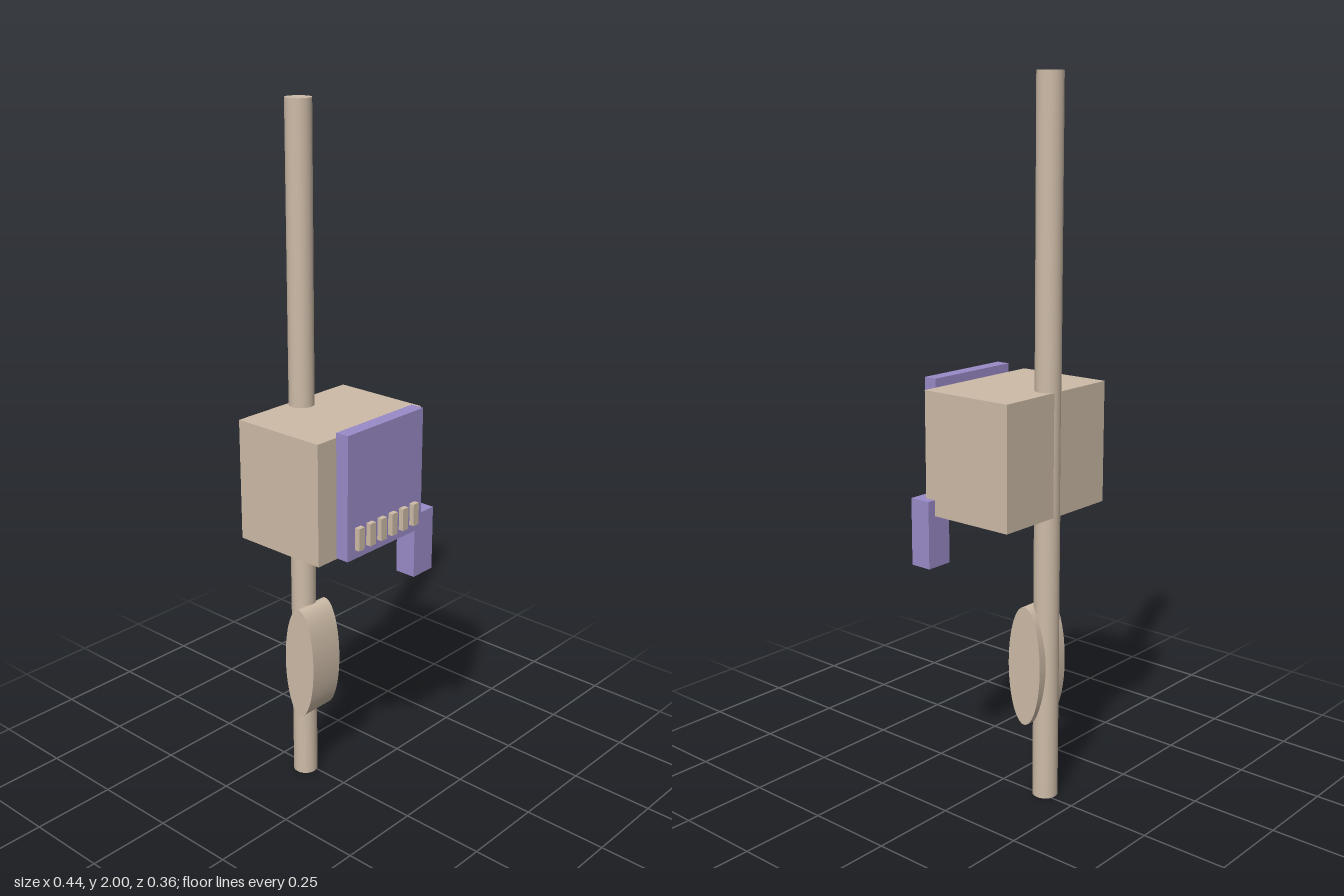
import * as THREE from 'three';

const tan = new THREE.MeshStandardMaterial({ color: 0xcdbba7 });
const purple = new THREE.MeshStandardMaterial({ color: 0x9a8bc8 });

export function createModel() {
  const model = new THREE.Group();

  const add = (name, geometry, material, x, y, z) => {
    const mesh = new THREE.Mesh(geometry, material);
    mesh.name = name;
    mesh.position.set(x, y, z);
    model.add(mesh);
    return mesh;
  };

  // Box given by its limits along each axis
  const box = (name, material, [x0, x1], [y0, y1], [z0, z1]) =>
    add(name, new THREE.BoxGeometry(x1 - x0, y1 - y0, z1 - z0), material,
      (x0 + x1) / 2, (y0 + y1) / 2, (z0 + z1) / 2);

  // Upright pole running through the back of the housing
  add('pole', new THREE.CylinderGeometry(0.036, 0.036, 2, 48), tan, -0.013, 1, -0.145);

  // Main housing
  box('housing', tan, [-0.221, 0.195], [0.83, 1.175], [-0.178, 0.11]);

  // Front panel, set slightly off the housing
  box('frontPanel', purple, [-0.165, 0.139], [0.842, 1.196], [0.123, 0.163]);

  // Row of small buttons along the bottom of the panel
  for (let i = 0; i < 6; i++) {
    const x = -0.125 + i * 0.045;
    box('button' + (i + 1), tan, [x - 0.011, x + 0.011], [0.868, 0.932], [0.155, 0.178]);
  }

  // Small block hanging at the lower corner
  box('sideBlock', purple, [0.139, 0.22], [0.684, 0.875], [0.078, 0.142]);

  // Elliptical disc on the pole, axis across x
  const disc = new THREE.CylinderGeometry(1, 1, 0.112, 64);
  disc.rotateZ(Math.PI / 2);
  disc.scale(1, 0.175, 0.056);
  add('ovalDisc', disc, tan, -0.014, 0.395, -0.111);

  return model;
}
